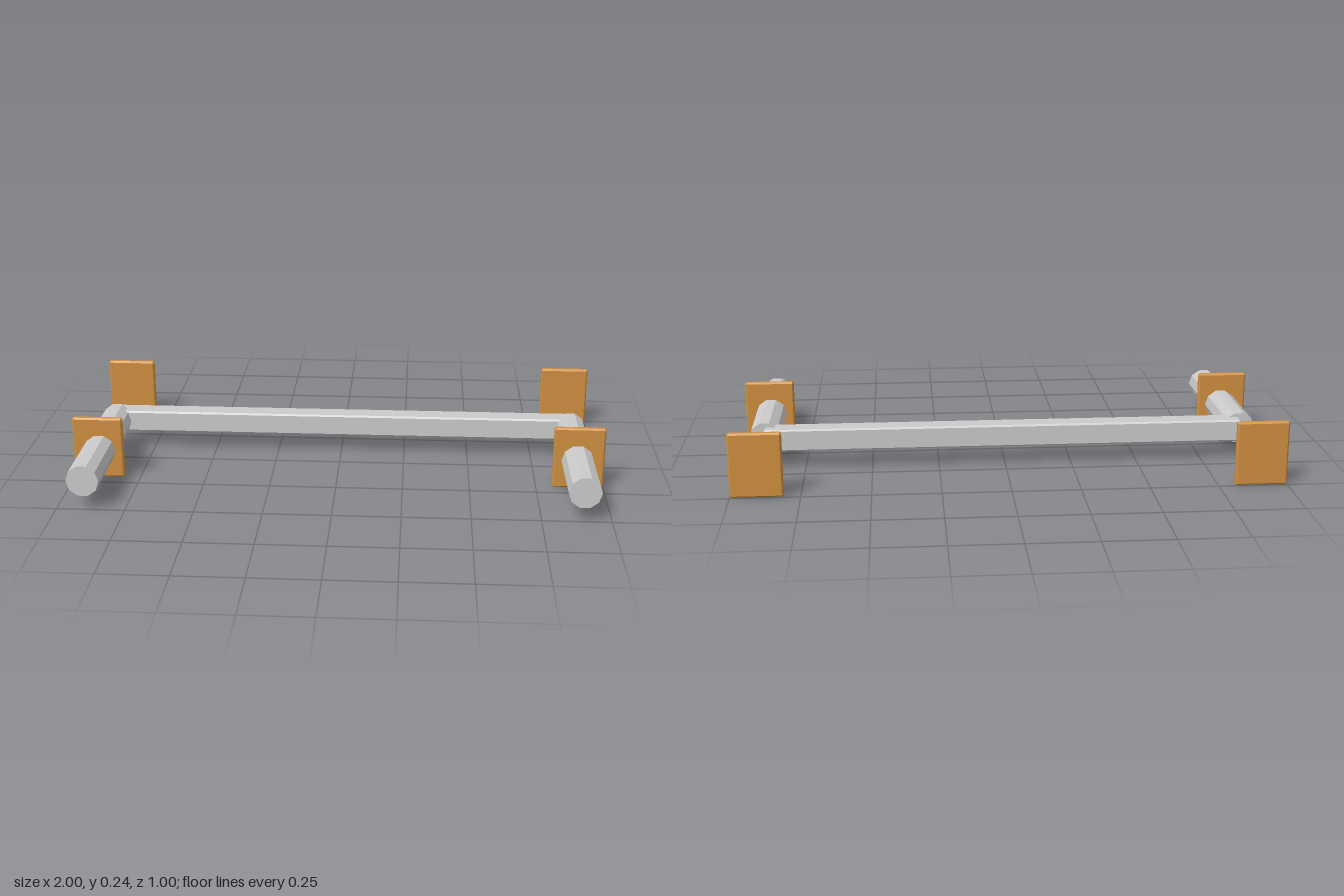
import * as THREE from 'three';
import { ConvexGeometry } from 'three/addons/geometries/ConvexGeometry.js';

// Box with every edge chamfered by b, centred on the origin
function chamferBox(w, h, d, b) {
  const points = [];
  for (const sx of [-1, 1]) for (const sy of [-1, 1]) for (const sz of [-1, 1]) {
    const x = w / 2, y = h / 2, z = d / 2;
    points.push(
      new THREE.Vector3(sx * x, sy * (y - b), sz * (z - b)),
      new THREE.Vector3(sx * (x - b), sy * y, sz * (z - b)),
      new THREE.Vector3(sx * (x - b), sy * (y - b), sz * z)
    );
  }
  return new ConvexGeometry(points);
}

export function createModel() {
  const group = new THREE.Group();
  const grey = new THREE.MeshStandardMaterial({ color: 0xcccccc, flatShading: true });
  const orange = new THREE.MeshStandardMaterial({ color: 0xd09040, flatShading: true });

  function add(name, geometry, material, x, y, z) {
    const mesh = new THREE.Mesh(geometry, material);
    mesh.name = name;
    mesh.position.set(x, y, z);
    group.add(mesh);
  }

  // Long square bar joining the two tubes
  add('crossBar', chamferBox(1.8, 0.084, 0.08, 0.006), grey, 0, 0.11, -0.149);

  // Ten-sided rod running front to back, with a corner on each side
  const rod = new THREE.CylinderGeometry(0.06, 0.06, 0.646, 10);
  rod.rotateY(Math.PI / 2);
  rod.rotateX(Math.PI / 2);

  const plate = chamferBox(0.19, 0.237, 0.025, 0.006);

  for (const [side, s] of [['left', 1], ['right', -1]]) {
    add(side + 'Rod', rod, grey, s * 0.9, 0.11, 0.175);
    add(side + 'FrontPlate', plate, orange, s * 0.905, 0.1185, 0.187);
    add(side + 'RearPlate', plate, orange, s * 0.905, 0.1185, -0.485);
  }
  return group;
}
